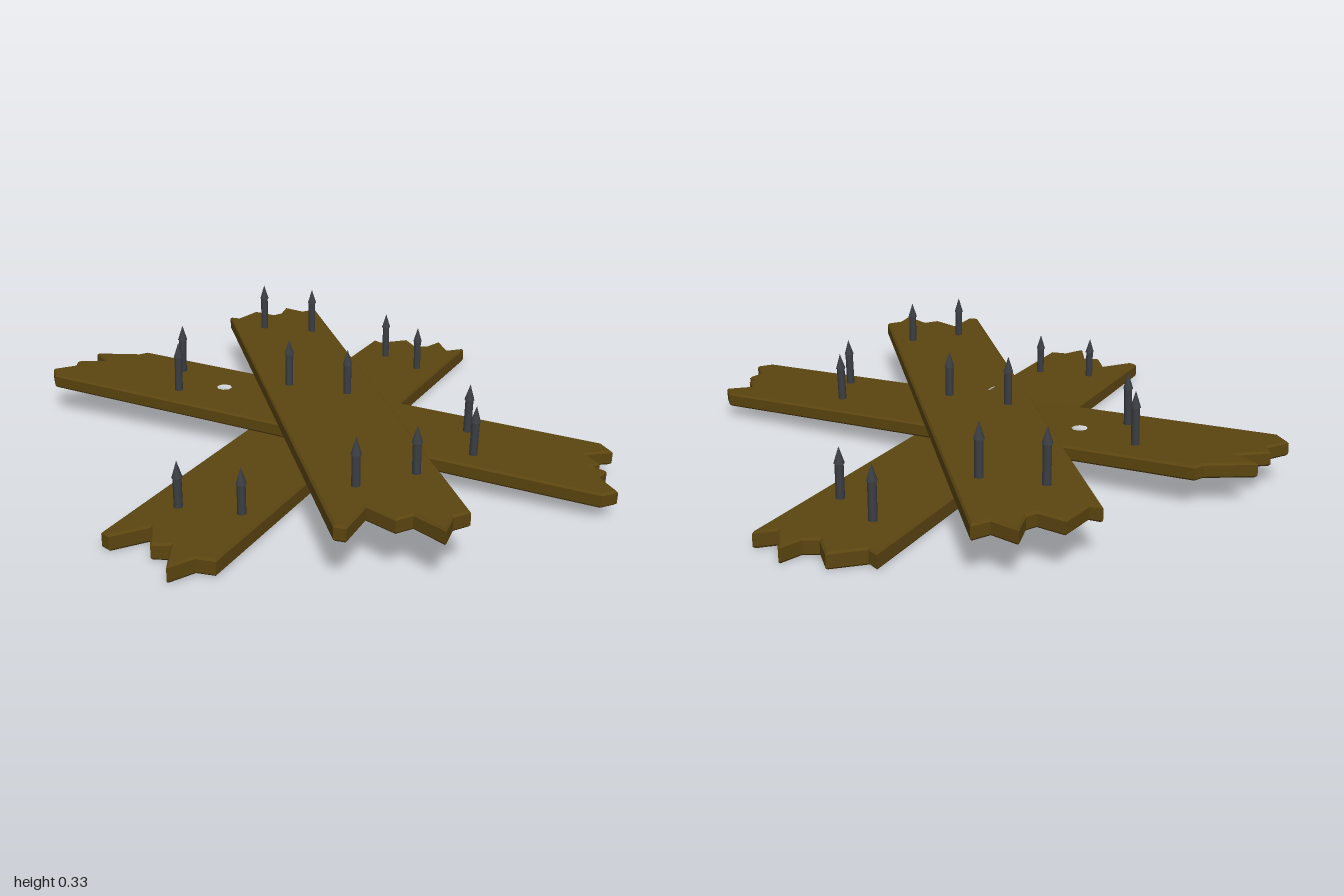
import * as THREE from 'three';

const wood = new THREE.MeshStandardMaterial({ color: 0x5b4510 });
wood.name = 'darkWood';
const iron = new THREE.MeshStandardMaterial({ color: 0x3b3e43 });
iron.name = 'darkIron';

// Pointed spike standing on y = 0: octagonal shank with a slightly wider tip
function makeSpike(x, z, base, height) {
  const spike = new THREE.Group();
  spike.name = 'spike';
  const tip = 0.05, sunk = 0.02, shankLength = height - tip + sunk;
  const shank = new THREE.Mesh(new THREE.CylinderGeometry(0.013, 0.013, shankLength, 8), iron);
  shank.name = 'spikeShank';
  shank.position.y = shankLength / 2 - sunk;
  const point = new THREE.Mesh(new THREE.ConeGeometry(0.016, tip, 8), iron);
  point.name = 'spikePoint';
  point.position.y = height - tip / 2;
  spike.add(shank, point);
  spike.position.set(x, base, z);
  return spike;
}

// Board cut from a splintered outline in x, z, with one drilled hole and its spikes
function makePlank(name, outline, thickness, hole, spikes) {
  const bevel = 0.006;
  const shape = new THREE.Shape(outline.map(([x, z]) => new THREE.Vector2(x, -z)));
  const [hx, hz, radius] = hole;
  const rim = [];
  for (let i = 0; i < 8; i++) {
    const a = -(i + 0.5) * Math.PI / 4;
    rim.push(new THREE.Vector2(hx + radius * Math.cos(a), -hz + radius * Math.sin(a)));
  }
  shape.holes.push(new THREE.Path(rim));
  const geometry = new THREE.ExtrudeGeometry(shape, {
    depth: thickness - 2 * bevel, bevelEnabled: true, bevelSegments: 1,
    bevelSize: bevel, bevelThickness: bevel, bevelOffset: -bevel,
  });
  geometry.translate(0, 0, bevel - thickness / 2);
  geometry.rotateX(-Math.PI / 2);
  const board = new THREE.Mesh(geometry, wood);
  board.name = name + 'Board';
  const plank = new THREE.Group();
  plank.name = name;
  plank.add(board);
  for (const [x, z, height] of spikes) plank.add(makeSpike(x, z, thickness / 2, height));
  return plank;
}

export function createModel() {
  const model = new THREE.Group();
  model.name = 'spikedPlanks';

  // Lowest board, running front to back
  const lower = makePlank('lowerPlank', [
    [-0.215, -0.91], [-0.18, -0.895], [-0.1, -0.97], [-0.04, -0.91], [0, -0.93], [0.025, -1],
    [0.09, -0.915], [0.14, -0.96], [0.14, 0.915], [0.085, 0.925], [0.045, 1], [-0.01, 0.895],
    [-0.06, 0.915], [-0.115, 0.83], [-0.185, 0.925], [-0.215, 0.915],
  ], 0.05, [-0.11, -0.01, 0.04], [
    [-0.1, -0.75, 0.165], [0.06, -0.67, 0.155], [-0.11, 0.7, 0.14], [0.07, 0.66, 0.14],
  ]);
  lower.position.y = 0.027;

  // Middle board, running side to side and tilted
  const middle = makePlank('middlePlank', [
    [-0.8, -0.18], [0.86, -0.18], [0.905, -0.135], [0.835, -0.08], [0.89, -0.03], [0.87, 0],
    [0.92, 0.01], [0.91, 0.06], [0.98, 0.13], [0.945, 0.175], [-0.94, 0.175], [-0.985, 0.125],
    [-0.94, 0.06], [-0.96, 0.02], [-0.875, -0.035], [-0.95, -0.08], [-0.815, -0.15],
  ], 0.045, [-0.38, -0.015, 0.032], [
    [-0.585, -0.08, 0.165], [-0.5, 0.08, 0.165], [0.465, -0.065, 0.155], [0.54, 0.095, 0.155],
  ]);
  middle.position.y = 0.09;
  middle.rotation.z = -0.03;

  // Top board, lying diagonally
  const upper = makePlank('upperPlank', [
    [-0.7, -0.61], [-0.665, -0.615], [-0.65, -0.725], [-0.565, -0.715], [-0.55, -0.745],
    [-0.57, -0.825], [-0.485, -0.81], [-0.455, -0.86], [0.705, 0.6], [0.675, 0.645],
    [0.685, 0.725], [0.58, 0.68], [0.55, 0.725], [0.455, 0.69], [0.46, 0.82], [0.425, 0.825],
  ], 0.046, [-0.055, 0.08, 0.045], [
    [-0.515, -0.55, 0.165], [-0.335, -0.59, 0.16], [-0.14, -0.03, 0.155],
    [0.065, -0.04, 0.145], [0.38, 0.59, 0.14], [0.495, 0.445, 0.14],
  ]);
  upper.position.y = 0.145;
  upper.rotation.x = -0.006;

  model.add(lower, middle, upper);
  return model;
}
